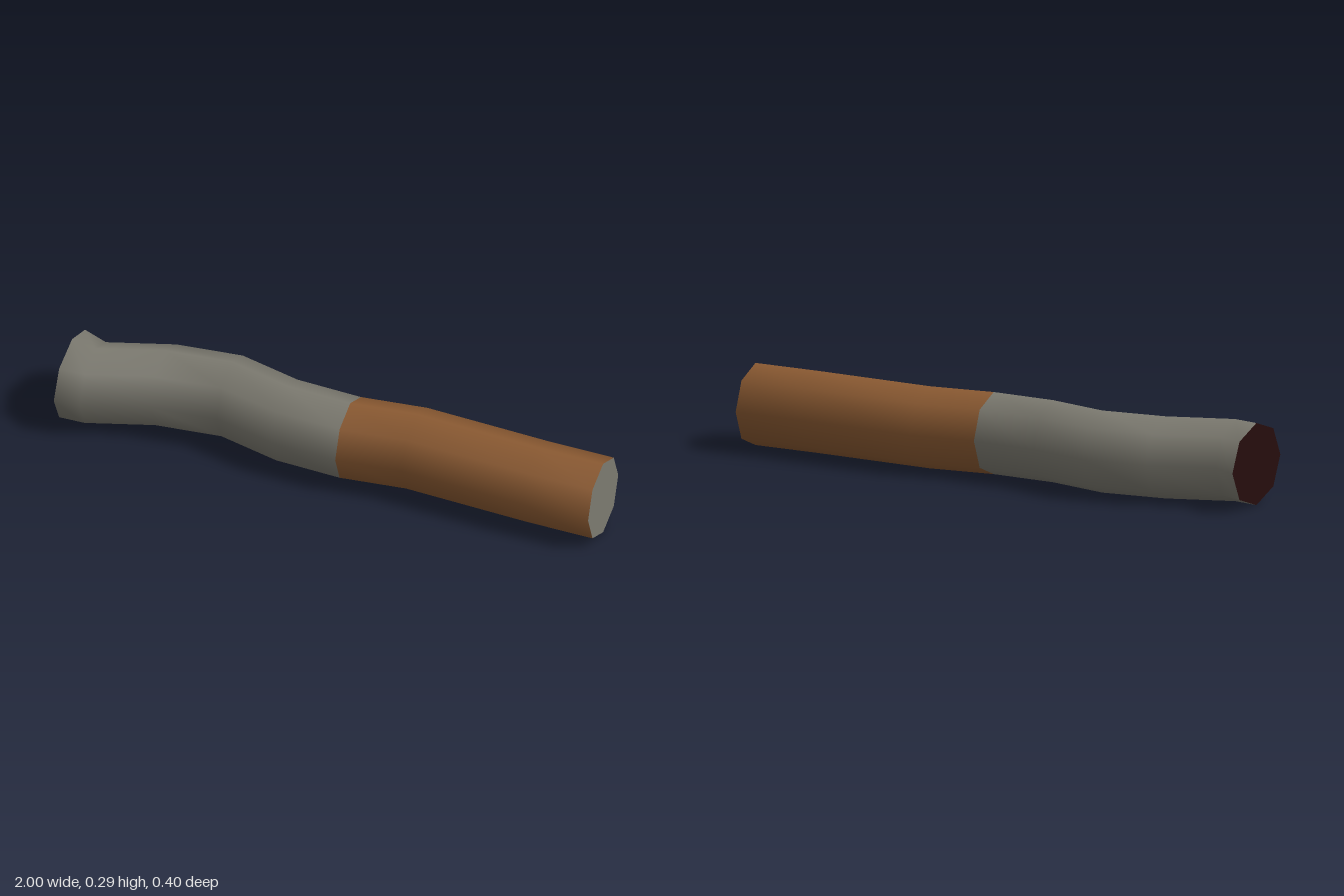
import * as THREE from 'three';

const SIDES = 8;
const RADIUS = 0.147;

// Rings along the bar: [x, z centre, z radius]
const RINGS = [
  [-1, 0.021, 0.178], [-0.905, 0.043, RADIUS], [-0.67, -0.033, RADIUS],
  [-0.43, -0.054, RADIUS], [-0.2, 0.012, RADIUS], [0.045, 0.03, RADIUS],
  [0.285, 0.007, RADIUS], [0.75, 0.042, RADIUS], [1, 0.052, RADIUS],
];
const SEAM = 5; // ring where the grey half meets the brown half

const material = (name, color) => {
  const m = new THREE.MeshStandardMaterial({ color });
  m.name = name;
  return m;
};

// Octagonal skin running through all the rings, one group per colour
function skinGeometry() {
  const positions = [];
  const index = [];
  for (const [x, z, rz] of RINGS) {
    for (let j = 0; j < SIDES; j++) {
      const a = (j / SIDES) * Math.PI * 2;
      positions.push(x, RADIUS + RADIUS * Math.sin(a), z + rz * Math.cos(a));
    }
  }
  for (let i = 0; i < RINGS.length - 1; i++) {
    for (let j = 0; j < SIDES; j++) {
      const a = i * SIDES + j;
      const b = i * SIDES + ((j + 1) % SIDES);
      index.push(a, a + SIDES, b, b, a + SIDES, b + SIDES);
    }
  }
  const geometry = new THREE.BufferGeometry();
  geometry.setAttribute('position', new THREE.Float32BufferAttribute(positions, 3));
  geometry.setIndex(index);
  geometry.computeVertexNormals();
  const split = SEAM * SIDES * 6;
  geometry.addGroup(0, split, 0);
  geometry.addGroup(split, index.length - split, 1);
  return geometry;
}

// Flat octagon closing one end; side is +1 or -1 along x
function endCap(name, [x, z, rz], side, mat) {
  const geometry = new THREE.CircleGeometry(1, SIDES);
  geometry.scale(rz, RADIUS, 1);
  geometry.rotateY((side * Math.PI) / 2);
  const cap = new THREE.Mesh(geometry, mat);
  cap.name = name;
  cap.position.set(x, RADIUS, z);
  return cap;
}

export function createModel() {
  const grey = material('warm grey', 0x7c7a70);
  const brown = material('brown', 0x8b5a32);
  const dark = material('dark red', 0x260d0d);

  const group = new THREE.Group();
  group.name = 'bentBar';

  const skin = new THREE.Mesh(skinGeometry(), [grey, brown]);
  skin.name = 'barSkin';
  group.add(skin);

  group.add(endCap('leftEndCap', RINGS[RINGS.length - 1], 1, grey));
  group.add(endCap('rightEndCap', RINGS[0], -1, dark));
  return group;
}
